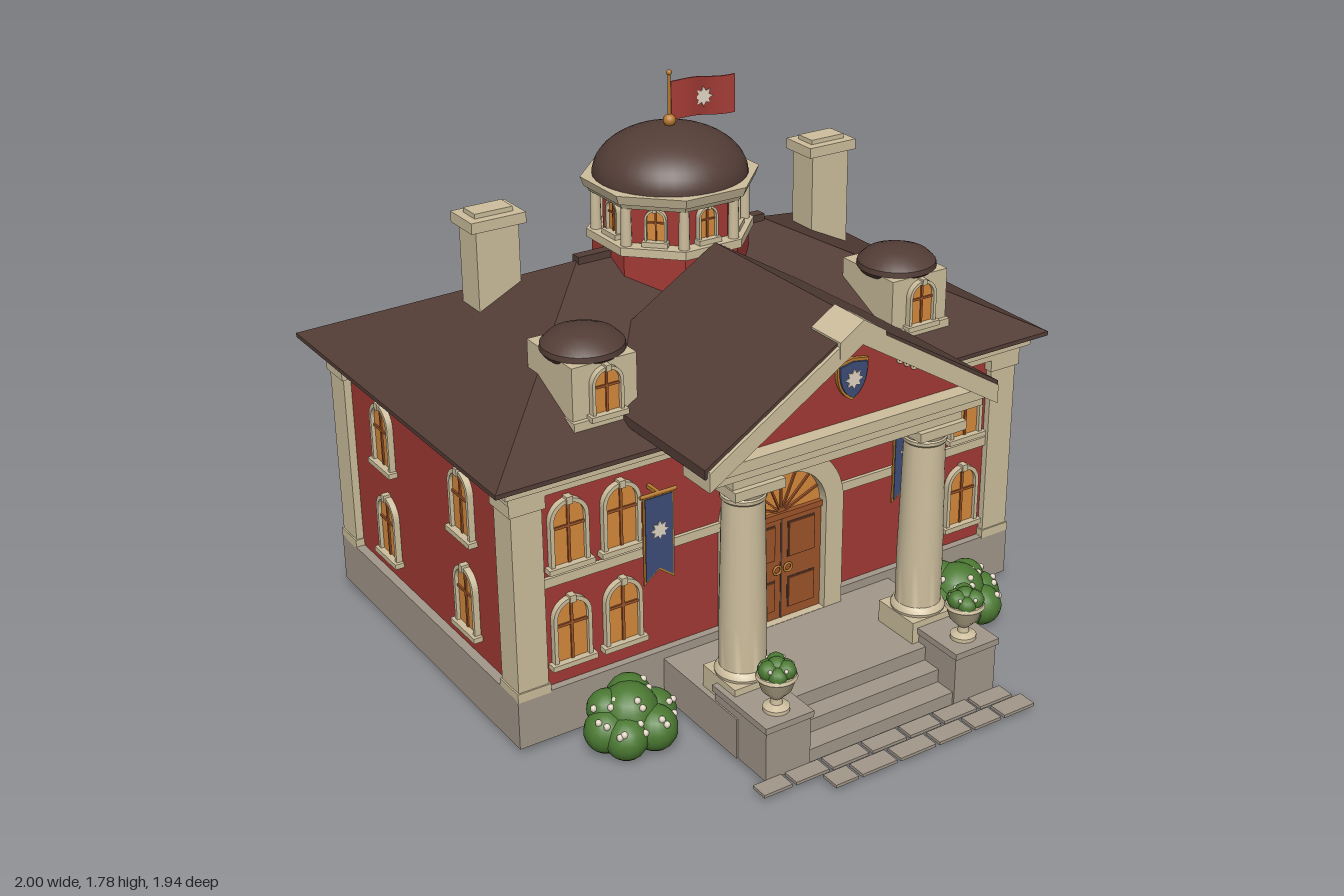
import * as THREE from 'three';
import { toCreasedNormals } from 'three/addons/utils/BufferGeometryUtils.js';
import { ConvexGeometry } from 'three/addons/geometries/ConvexGeometry.js';

const mat = (name, color, opts = {}) => {
  const m = new THREE.MeshStandardMaterial({ color, ...opts });
  m.name = name;
  return m;
};

export function createModel() {
  const cream = mat('cream trim', 0xcdbe9d), stone = mat('grey stone', 0xa3978a);
  const red = mat('red wall', 0xa23a34), brown = mat('roof brown', 0x533d36);
  const amber = mat('amber glass', 0xd68a3c), wood = mat('door wood', 0x9c5329);
  const blue = mat('banner blue', 0x3f4d78), green = mat('leaf green', 0x4c7a33);
  const gold = mat('gold', 0xb87a2e), petal = mat('petal white', 0xe2d6c4);
  const root = new THREE.Group();
  root.name = 'mansion';

  // Helpers
  const add = (name, geo, m, x = 0, y = 0, z = 0, parent = root) => {
    const mesh = new THREE.Mesh(geo, m);
    mesh.name = name;
    mesh.position.set(x, y, z);
    parent.add(mesh);
    return mesh;
  };
  const group = (name, x = 0, y = 0, z = 0, ry = 0, parent = root) => {
    const g = new THREE.Group();
    g.name = name;
    g.position.set(x, y, z);
    g.rotation.y = ry;
    parent.add(g);
    return g;
  };
  // Box given by its limits
  const box = (name, m, x0, x1, y0, y1, z0, z1, parent = root) =>
    add(name, new THREE.BoxGeometry(x1 - x0, y1 - y0, z1 - z0), m, (x0 + x1) / 2, (y0 + y1) / 2, (z0 + z1) / 2, parent);
  const poly = pts => new THREE.Shape(pts.map(p => new THREE.Vector2(...p)));
  const extrude = (shape, depth) => new THREE.ExtrudeGeometry(shape, { depth, bevelEnabled: false, curveSegments: 12 });
  const lathe = (pts, n = 28) => toCreasedNormals(new THREE.LatheGeometry(pts.map(p => new THREE.Vector2(...p)), n), 0.6);
  const ball = (r, n = 16) => new THREE.SphereGeometry(r, n, Math.round(n * 0.7));
  const arch = (w, h, y0 = 0, P = THREE.Shape) => {
    const s = new P();
    s.moveTo(-w, y0);
    s.lineTo(w, y0);
    s.lineTo(w, h - w);
    s.absarc(0, h - w, w, 0, Math.PI, false);
    s.lineTo(-w, y0);
    return s;
  };
  const archFrame = (w, h, t, depth) => {
    const s = arch(w, h);
    s.holes.push(arch(w - t, h - t, 0.001, THREE.Path));
    return extrude(s, depth);
  };
  const burst = r => extrude(poly(Array.from({ length: 16 }, (_, i) => {
    const a = i * Math.PI / 8, k = i % 2 ? r * 0.6 : r;
    return [Math.sin(a) * k, Math.cos(a) * k];
  })), 0.004);
  const addWindow = (x, y, z, ry, w, h, parent = root) => {
    const g = group('window', x, y, z, ry, parent);
    add('windowFrame', archFrame(w, h, w * 0.2, 0.02), cream, 0, 0, 0, g);
    add('windowGlass', extrude(arch(w * 0.85, h - w * 0.15), 0.008), amber, 0, 0, 0, g);
    const b = w * 0.07;
    box('mullion', wood, -b, b, 0, h - w * 0.2, 0.006, 0.013, g);
    box('crossbar', wood, -w * 0.8, w * 0.8, h * 0.58 - b, h * 0.58 + b, 0.006, 0.013, g);
    box('sill', cream, -w * 1.18, w * 1.18, -0.014, 0.003, -0.005, 0.03, g);
    box('keystone', cream, -w * 0.16, w * 0.16, h - w * 0.25, h + w * 0.12, 0, 0.025, g);
  };

  // Main block
  box('plinth', stone, -0.93, 0.93, 0.02, 0.185, -0.905, 0.3);
  box('walls', red, -0.9, 0.9, 0.18, 0.86, -0.88, 0.275);
  box('lowerCornice', cream, -0.935, 0.935, 0.83, 0.865, -0.915, 0.305);
  box('upperCornice', cream, -0.955, 0.955, 0.862, 0.896, -0.94, 0.33);
  box('frontBand', cream, -0.9, 0.9, 0.52, 0.55, 0.27, 0.287);
  box('backBand', cream, -0.9, 0.9, 0.52, 0.55, -0.892, -0.87);
  for (const s of [-1, 1]) for (const z of [0.247, -0.852]) {
    const g = group('cornerPilaster', s * 0.875, 0, z);
    box('pilasterShaft', cream, -0.05, 0.05, 0.18, 0.84, -0.05, 0.05, g);
    box('pilasterCapital', cream, -0.058, 0.058, 0.79, 0.832, -0.058, 0.058, g);
    box('pilasterBase', cream, -0.055, 0.055, 0.18, 0.21, -0.055, 0.055, g);
  }
  for (const y of [0.258, 0.58]) {
    for (const s of [-1, 1]) {
      for (const x of [0.56, 0.735]) addWindow(s * x, y, 0.275, 0, 0.064, 0.212);
      for (const x of [0.2, 0.6]) addWindow(s * x, y, -0.88, Math.PI, 0.064, 0.212);
      for (const z of [-0.04, -0.57]) addWindow(s * 0.9, y, z, s * Math.PI / 2, 0.064, 0.212);
    }
  }

  // Hipped main roof
  const roofPts = [];
  for (const x of [-1, 1]) {
    for (const z of [-0.975, 0.36]) for (const y of [0.894, 0.908]) roofPts.push(new THREE.Vector3(x, y, z));
    roofPts.push(new THREE.Vector3(x * 0.34, 1.23, -0.31));
  }
  add('mainRoof', new ConvexGeometry(roofPts), brown);
  box('ridgeCap', brown, -0.345, 0.345, 1.215, 1.245, -0.328, -0.292);

  // Chimneys
  for (const x of [-0.555, 0.695]) {
    const g = group('chimney', x, 0, -0.465);
    box('chimneyShaft', cream, -0.073, 0.073, 0.97, 1.36, -0.055, 0.055, g);
    box('chimneyCap', cream, -0.093, 0.093, 1.35, 1.385, -0.068, 0.068, g);
    box('chimneyFlue', cream, -0.065, 0.065, 1.38, 1.4, -0.037, 0.037, g);
  }

  // Dormers with low domed caps
  for (const s of [-1, 1]) {
    const g = group('dormer', s * 0.57, 0, 0.11);
    box('dormerBody', cream, -0.107, 0.107, 0.96, 1.155, -0.135, 0.12, g);
    box('dormerSill', cream, -0.112, 0.112, 0.96, 0.99, 0, 0.135, g);
    addWindow(0, 0.998, 0.12, 0, 0.052, 0.145, g);
    add('dormerCap', lathe([[0, 1.14], [0.115, 1.14], [0.126, 1.155], [0.124, 1.172], [0.1, 1.195], [0.06, 1.21], [0, 1.217]]), brown, 0, 0, 0, g);
  }

  // Octagonal cupola
  const cup = group('cupola', 0, 0, -0.31);
  const oct = (name, m, a0, a1, y0, y1) => {
    const k = 1 / Math.cos(Math.PI / 8), geo = new THREE.CylinderGeometry(a1 * k, a0 * k, y1 - y0, 8);
    geo.rotateY(Math.PI / 8);
    const flat = geo.toNonIndexed();
    flat.computeVertexNormals();
    add(name, flat, m, 0, (y0 + y1) / 2, 0, cup);
  };
  oct('cupolaBase', red, 0.23, 0.23, 1.08, 1.26);
  oct('cupolaLedge', cream, 0.245, 0.245, 1.255, 1.282);
  oct('cupolaDrum', red, 0.197, 0.197, 1.28, 1.42);
  oct('cupolaFrieze', cream, 0.235, 0.245, 1.405, 1.425);
  oct('cupolaCornice', cream, 0.25, 0.26, 1.422, 1.452);
  for (let i = 0; i < 8; i++) {
    const a = i * Math.PI / 4, b = a + Math.PI / 8;
    addWindow(Math.sin(a) * 0.197, 1.295, Math.cos(a) * 0.197, a, 0.034, 0.105, cup);
    add('cupolaColumn', new THREE.CylinderGeometry(0.016, 0.018, 0.13, 10), cream, Math.sin(b) * 0.235, 1.345, Math.cos(b) * 0.235, cup);
  }
  const dome = add('dome', new THREE.SphereGeometry(0.243, 36, 14, 0, Math.PI * 2, 0, Math.PI / 2), brown, 0, 1.45, 0, cup);
  dome.scale.y = 0.62;
  add('finialBall', ball(0.02), gold, 0, 1.615, 0, cup);
  add('flagPole', new THREE.CylinderGeometry(0.005, 0.006, 0.16, 8), gold, 0, 1.69, 0, cup);
  add('poleTip', ball(0.009, 10), gold, 0, 1.765, 0, cup);
  const flag = new THREE.BoxGeometry(0.215, 0.122, 0.006, 14, 1, 1), fp = flag.attributes.position;
  for (let i = 0; i < fp.count; i++) {
    const u = fp.getX(i) / 0.215 + 0.5;
    fp.setY(i, fp.getY(i) + 0.007 * Math.sin(u * 6));
    fp.setZ(i, fp.getZ(i) + 0.01 * Math.sin(u * 7));
  }
  flag.computeVertexNormals();
  const fg = group('flag', 0, 1.675, 0, -0.12, cup);
  add('flagCloth', flag, red, 0.113, 0, 0, fg);
  for (const r of [0, Math.PI]) add('flagBurst', burst(0.032), petal, 0.115, 0, r ? -0.008 : 0.002, fg).rotation.y = r;

  // Portico gable roof and pediment
  const chevron = (name, m, apex, ex, ey, t, z0, z1) => add(name, extrude(poly(
    [[0, apex], [-ex, ey], [-ex, ey - t], [0, apex - t], [ex, ey - t], [ex, ey]]), z1 - z0), m, 0, 0, z0);
  const triangle = (name, m, z0, z1) => add(name, extrude(poly([[-0.5, 0.95], [0.5, 0.95], [0, 1.27]]), z1 - z0), m, 0, 0, z0);
  chevron('porticoRoof', brown, 1.295, 0.52, 0.978, 0.03, -0.06, 0.668);
  triangle('porticoRoofBack', brown, -0.06, -0.04);
  triangle('pedimentPanel', red, 0.6, 0.625);
  chevron('rakingCornice', cream, 1.287, 0.512, 0.97, 0.06, 0.545, 0.68);
  chevron('apexCap', cream, 1.303, 0.08, 1.252, 0.05, 0.545, 0.682);
  box('pedimentCornice', cream, -0.51, 0.51, 0.938, 0.973, 0.2, 0.675);
  box('porticoFrieze', cream, -0.475, 0.475, 0.905, 0.94, 0.2, 0.655);
  box('architrave', cream, -0.41, 0.41, 0.87, 0.908, 0.5, 0.64);
  const shieldShape = k => {
    const s = new THREE.Shape();
    s.moveTo(-0.055 * k, 0.055 * k);
    s.lineTo(0, 0.065 * k);
    s.lineTo(0.055 * k, 0.055 * k);
    s.quadraticCurveTo(0.06 * k, -0.035 * k, 0, -0.065 * k);
    s.quadraticCurveTo(-0.06 * k, -0.035 * k, -0.055 * k, 0.055 * k);
    return s;
  };
  const shield = group('shield', 0, 1.105, 0.625);
  add('shieldRim', extrude(shieldShape(1), 0.012), gold, 0, 0, 0, shield);
  add('shieldFace', extrude(shieldShape(0.86), 0.018), blue, 0, 0, 0, shield);
  add('shieldBurst', burst(0.032), petal, 0, 0.003, 0.017, shield);
  for (const s of [-1, 1]) for (let i = 0; i < 3; i++)
    add('pedimentScroll', new THREE.TorusGeometry(0.012 - i * 0.002, 0.004, 6, 12), cream, s * (0.18 + i * 0.025), 1.12 - i * 0.018, 0.628);

  // Porch, steps and paving
  box('porchFloor', stone, -0.43, 0.43, 0.02, 0.155, 0.25, 0.69);
  [[0.108, 0.755], [0.064, 0.825]].forEach(([y, z]) => box('step', stone, -0.27, 0.27, 0.02, y, 0.6, z));
  const pave = (xs, z0, z1) => xs.slice(1).forEach((x, i) => box('pavingStone', stone, xs[i] + 0.007, x - 0.007, 0.016, 0.026, z0, z1));
  pave([-0.477, -0.365, -0.235, -0.09, 0.05, 0.18, 0.32, 0.457], 0.832, 0.89);
  pave([-0.28, -0.185, -0.045, 0.1, 0.235, 0.35, 0.482], 0.902, 0.965);

  // Columns, pedestals and planted urns
  const column = lathe([[0.082, 0.225], [0.085, 0.237], [0.078, 0.25], [0.071, 0.255], [0.071, 0.42], [0.063, 0.8], [0.068, 0.806], [0.068, 0.816], [0.064, 0.82], [0.08, 0.845]], 32);
  const urn = lathe([[0, 0], [0.04, 0], [0.04, 0.012], [0.018, 0.022], [0.016, 0.04], [0.045, 0.07], [0.056, 0.105], [0.062, 0.112], [0.058, 0.122], [0, 0.118]], 20);
  for (const s of [-1, 1]) {
    box('pedestal', stone, s * 0.347 - 0.078, s * 0.347 + 0.078, 0.02, 0.19, 0.57, 0.832);
    box('pedestalCap', stone, s * 0.347 - 0.084, s * 0.347 + 0.084, 0.185, 0.206, 0.565, 0.84);
    const c = group('column', s * 0.328, 0, 0.572);
    box('columnPlinth', cream, -0.084, 0.084, 0.15, 0.228, -0.084, 0.084, c);
    add('columnShaft', column, cream, 0, 0, 0, c);
    box('columnCapital', cream, -0.086, 0.086, 0.842, 0.872, -0.086, 0.086, c);
    const u = group('urn', s * 0.347, 0.206, 0.77);
    add('urnBody', urn, cream, 0, 0, 0, u);
    for (let i = 0; i < 6; i++) {
      const a = i * 1.05;
      add('urnLeaves', ball(0.03, 10), green, Math.cos(a) * 0.03, 0.125 + 0.012 * (i % 2), Math.sin(a) * 0.03, u);
      add('urnFlower', ball(0.007, 6), petal, Math.cos(a + 0.5) * 0.046, 0.148, Math.sin(a + 0.5) * 0.046, u);
    }
    add('urnLeaves', ball(0.032, 10), green, 0, 0.14, 0, u);
  }

  // Flowering bushes
  const lobes = [[0, 0.105, 0, 0.09], [-0.085, 0.075, 0, 0.07], [0.085, 0.075, 0.01, 0.068], [-0.045, 0.07, 0.07, 0.07], [0.05, 0.065, 0.065, 0.066], [-0.03, 0.12, -0.05, 0.07], [0.06, 0.12, -0.03, 0.06], [0, 0.06, -0.06, 0.06]];
  for (const s of [-1, 1]) {
    const g = group('bush', s * 0.625, 0, 0.415);
    lobes.forEach(([x, y, z, r], n) => {
      add('bushLobe', ball(r), green, s * x, y, z, g);
      if (n < 7) for (let k = 0; k < 4; k++) {
        const a = k * 1.6 + n, e = 0.45 + 0.14 * k, d = r * 0.99;
        add('bushFlower', ball(0.011, 7), petal, s * (x + d * Math.cos(e) * Math.cos(a)), y + d * Math.sin(e), z + d * Math.cos(e) * Math.abs(Math.sin(a)), g);
      }
    });
  }

  // Arched double door with fanlight
  const door = group('door', 0, 0.155, 0.275);
  add('doorSurround', archFrame(0.216, 0.585, 0.066, 0.055), cream, 0, 0, 0, door);
  add('fanlight', extrude(arch(0.152, 0.52, 0.36), 0.02), amber, 0, 0, 0, door);
  box('doorLeaves', wood, -0.152, 0.152, 0, 0.365, 0, 0.028, door);
  box('transom', wood, -0.152, 0.152, 0.355, 0.375, 0, 0.036, door);
  box('doorGap', brown, -0.003, 0.003, 0, 0.355, 0.02, 0.03, door);
  for (let i = 1; i < 8; i++) {
    const spoke = new THREE.BoxGeometry(0.147, 0.006, 0.008);
    spoke.translate(0.074, 0, 0);
    add('fanSpoke', spoke, wood, 0, 0.37, 0.023, door).rotation.z = i * Math.PI / 8;
  }
  for (const s of [-1, 1]) {
    for (const [y0, y1] of [[0.03, 0.14], [0.21, 0.335]]) {
      box('panelLine', brown, s * 0.075 - 0.052, s * 0.075 + 0.052, y0, y1, 0.022, 0.029, door);
      box('doorPanel', wood, s * 0.075 - 0.048, s * 0.075 + 0.048, y0 + 0.004, y1 - 0.004, 0.022, 0.034, door);
    }
    add('doorHandle', new THREE.TorusGeometry(0.014, 0.004, 6, 14), gold, s * 0.02, 0.18, 0.037, door);
  }

  // Hanging lantern
  const lamp = group('lantern', 0, 0, 0.39);
  add('lanternChain', new THREE.CylinderGeometry(0.004, 0.004, 0.08, 6), brown, 0, 0.875, 0, lamp);
  add('lanternHood', new THREE.CylinderGeometry(0.012, 0.034, 0.022, 12), brown, 0, 0.838, 0, lamp);
  box('lanternGlass', amber, -0.021, 0.021, 0.765, 0.83, -0.021, 0.021, lamp);
  box('lanternBase', brown, -0.027, 0.027, 0.752, 0.766, -0.027, 0.027, lamp);
  for (const x of [-1, 1]) for (const z of [-1, 1])
    box('lanternBar', brown, x * 0.022 - 0.004, x * 0.022 + 0.004, 0.76, 0.83, z * 0.022 - 0.004, z * 0.022 + 0.004, lamp);

  // Swallowtail banners
  const tail = (w, top, bot, notch) => poly([[-w, top], [-w, bot], [0, notch], [w, bot], [w, top]]);
  for (const s of [-1, 1]) {
    const g = group('banner', s * 0.46, 0, 0.325);
    add('bannerEdge', extrude(tail(0.053, 0.74, 0.45, 0.49), 0.006), gold, 0, 0, 0, g);
    add('bannerCloth', extrude(tail(0.047, 0.735, 0.462, 0.498), 0.009), blue, 0, 0, 0, g);
    add('bannerBurst', burst(0.03), petal, 0, 0.625, 0.008, g);
    add('bannerRod', new THREE.CylinderGeometry(0.006, 0.006, 0.125, 8), gold, 0, 0.744, 0.004, g).rotation.z = Math.PI / 2;
    box('bannerBracket', gold, -0.006, 0.006, 0.738, 0.75, -0.05, 0.004, g);
  }
  return root;
}
